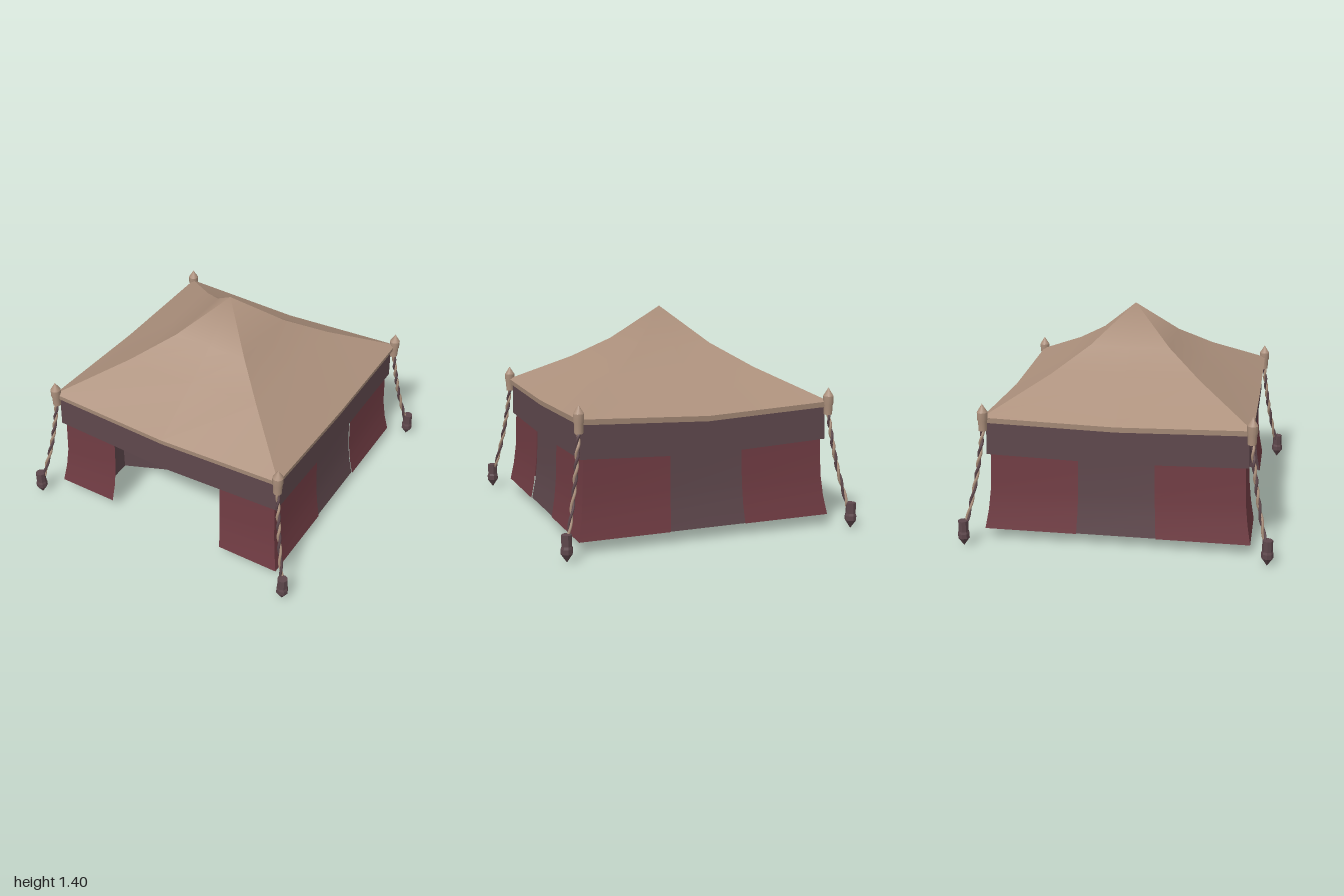
import * as THREE from 'three';

const mat = (name, color, side = THREE.FrontSide) => {
  const m = new THREE.MeshStandardMaterial({ color, side });
  m.name = name;
  return m;
};

// Smooth surface from rows of points: each row runs left to right, rows go bottom to top
function sheet(rows) {
  const cols = rows[0].length;
  const index = [];
  for (let r = 0; r < rows.length - 1; r++) {
    for (let c = 0; c < cols - 1; c++) {
      const a = r * cols + c, b = a + cols;
      index.push(a, a + 1, b + 1);
      const [p, q] = [rows[r + 1][c], rows[r + 1][c + 1]];
      if (p.some((v, k) => v !== q[k])) index.push(a, b + 1, b);
    }
  }
  const g = new THREE.BufferGeometry();
  g.setAttribute('position', new THREE.Float32BufferAttribute(rows.flat(2), 3));
  g.setIndex(index);
  g.computeVertexNormals();
  return g;
}

// One side of the square tent: profile of [distance, height], cut at fractions of the width
function sideSheet(profile, fractions, sag = 0) {
  return sheet(profile.map(([d, y]) => fractions.map((f) =>
    [f * d, y - sag * (1 - Math.abs(f)) * (d / 0.84) ** 2, d])));
}

// Turned shape with round sides; a repeated profile point keeps that edge sharp
const turned = (profile, sides) =>
  new THREE.LatheGeometry(profile.map(([r, y]) => new THREE.Vector2(r, y)), sides);

// One strand wound around the line of a guy rope
class Strand extends THREE.Curve {
  constructor(path, phase) {
    super();
    this.path = path;
    this.phase = phase;
  }
  getPoint(t, target = new THREE.Vector3()) {
    const a = this.phase + t * Math.PI * 8;
    this.path.getPoint(t, target);
    return target.add(new THREE.Vector3(Math.cos(a) * 0.007, 0, Math.sin(a) * 0.007));
  }
}

export function createModel() {
  const tent = new THREE.Group();
  tent.name = 'tent';

  const canvas = mat('tan canvas', 0xac907c, THREE.DoubleSide);
  const red = mat('red cloth', 0x703c43, THREE.DoubleSide);
  const plum = mat('plum cloth', 0x5e474c, THREE.DoubleSide);

  const add = (parent, name, geometry, material) => {
    const m = new THREE.Mesh(geometry, material);
    m.name = name;
    parent.add(m);
    return m;
  };

  const roofProfile = [[0.845, 0.825], [0.48, 1.02], [0.26, 1.165], [0, 1.4]];
  const wallProfile = [[0.85, 0.075], [0.828, 0.2], [0.813, 0.34], [0.806, 0.58], [0.806, 0.8]];
  const insetProfile = wallProfile.map(([d, y]) => [d - 0.008, y]);

  for (let k = 0; k < 4; k++) {
    const side = new THREE.Group();
    side.name = ['frontSide', 'leftSide', 'backSide', 'rightSide'][k];
    side.rotation.y = k * Math.PI / 2;
    tent.add(side);
    const sag = k % 2 ? 0.02 : 0.036;
    const half = [-1, 0, 1];

    // Roof slope, blending into its neighbours at the peak, with hem and soffit
    const slope = sideSheet(roofProfile, half, sag);
    for (let i = 9; i < 12; i++) slope.attributes.normal.setXYZ(i, 0, 1, 0);
    add(side, 'roofSlope', slope, canvas);
    add(side, 'roofHem', sideSheet([[0.84, 0.79], [0.845, 0.825]], half, sag), canvas);
    add(side, 'roofSoffit', sideSheet([[0.8, 0.79], [0.84, 0.79]], half, sag), canvas);

    // Hanging valance below the eave
    add(side, 'valance', sideSheet([[0.827, 0.577], [0.823, 0.795]], half, sag), plum);

    // Wall panels; the front is left open in the middle
    const gap = k === 0 ? 0.505 : 0.3;
    add(side, 'wallPanelA', sideSheet(wallProfile, [-1, -gap]), red);
    add(side, 'wallPanelB', sideSheet(wallProfile, [gap, 1]), red);
    if (k > 0) add(side, 'middlePanel', sideSheet(insetProfile, [-gap - 0.01, gap + 0.01]), plum);
  }

  // Entrance curtain: two folded-back returns and a shallow V inside
  const upright = (points) => sheet([0.075, 0.8].map((y) => points.map(([x, z]) => [x, y, z])));
  add(tent, 'innerCurtain', upright([[-0.57, 0.51], [0, 0.27], [0.57, 0.51]]), plum);
  for (const s of [-1, 1]) {
    const returnRows = wallProfile.map(([d, y]) =>
      [[s * 0.505 * d, y, d], [s * 0.56, y, 0.7], [s * 0.57, y, 0.51]]);
    add(tent, 'curtainReturn', sheet(returnRows), plum);
  }

  // Corner finials, guy ropes and ground stakes
  const finial = turned([[0, 0.74], [0.027, 0.74], [0.027, 0.74], [0.029, 0.8],
    [0.034, 0.815], [0.034, 0.86], [0.034, 0.86], [0, 0.915]], 12);
  const stake = turned([[0, 0], [0.038, 0.055], [0.038, 0.055], [0.038, 0.085], [0.033, 0.1],
    [0.033, 0.17], [0.033, 0.17], [0, 0.17]], 8).toNonIndexed();
  stake.computeVertexNormals();
  const ropePoints = [[0.84, 0.76], [0.862, 0.58], [0.892, 0.39], [0.945, 0.14]];
  for (const sx of [-1, 1]) {
    for (const sz of [-1, 1]) {
      const corner = new THREE.Group();
      corner.name = 'cornerRigging';
      tent.add(corner);
      add(corner, 'finial', finial, canvas).position.set(sx * 0.84, 0, sz * 0.84);
      add(corner, 'stake', stake, plum).position.set(sx * 0.96, 0, sz * 0.96);
      const path = new THREE.CatmullRomCurve3(
        ropePoints.map(([d, y]) => new THREE.Vector3(sx * d, y, sz * d)));
      [canvas, plum].forEach((material, i) => {
        const strand = new Strand(path, i * Math.PI);
        add(corner, 'guyRopeStrand', new THREE.TubeGeometry(strand, 40, 0.009, 6), material);
      });
    }
  }
  return tent;
}
